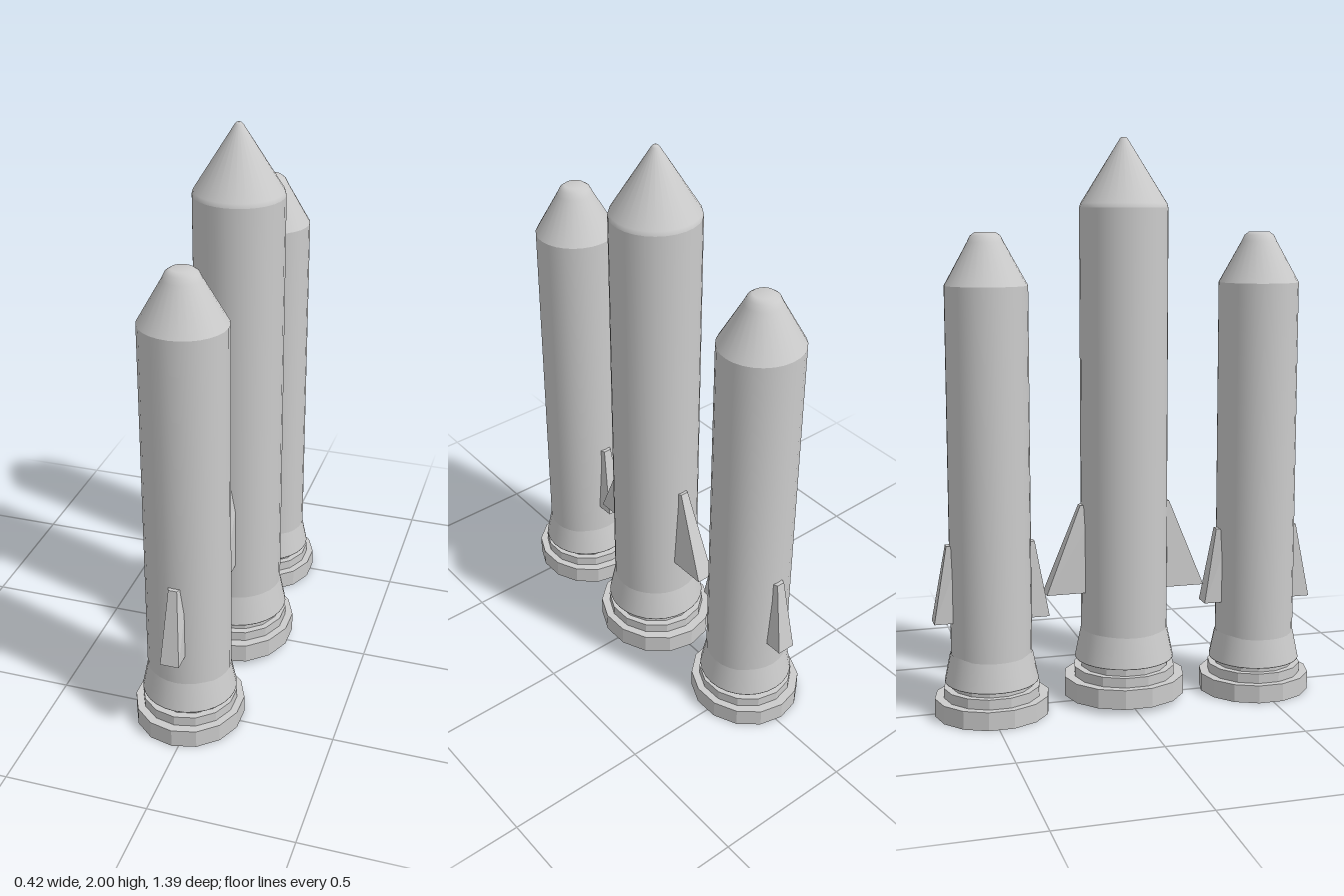
import * as THREE from 'three';

const grey = new THREE.MeshStandardMaterial({ color: 0xcccccc });
const greyFlat = new THREE.MeshStandardMaterial({ color: 0xcccccc, flatShading: true });

function mesh(name, geometry, material) {
  const m = new THREE.Mesh(geometry, material);
  m.name = name;
  return m;
}

// Smooth turned part from [radius, height] pairs, bottom to top
function turned(name, points) {
  const profile = points.map(([r, y]) => new THREE.Vector2(r, y));
  return mesh(name, new THREE.LatheGeometry(profile, 28), grey);
}

// Faceted disc between two heights
function disc(name, r, y0, y1, sx) {
  const geometry = new THREE.CylinderGeometry(r, r, y1 - y0, 14);
  geometry.scale(sx, 1, 1).translate(0, (y0 + y1) / 2, 0);
  return mesh(name, geometry, greyFlat);
}

// Fin pointing to +z: a box whose outer face leans in and narrows to the top
function fin({ root, zTop, zBottom, yTop, yBottom, width, tipWidth }) {
  const geometry = new THREE.BoxGeometry(1, 1, 1);
  const p = geometry.attributes.position;
  for (let i = 0; i < p.count; i++) {
    const top = p.getY(i) > 0, outer = p.getZ(i) > 0;
    const w = top && outer ? tipWidth : width;
    p.setXYZ(i, p.getX(i) * w, top ? yTop : yBottom, outer ? (top ? zTop : zBottom) : root);
  }
  return mesh('fin', geometry, greyFlat);
}

function rocket(name, spec) {
  const group = new THREE.Group();
  group.name = name;

  const nose = turned('noseCone', spec.nose);
  const body = turned('body', spec.body);
  const skirt = turned('flaredSkirt', spec.skirt);
  nose.scale.x = body.scale.x = spec.bodyStretch;
  group.add(nose, body, skirt);

  // Closing discs and stepped engine base
  for (const [part, r, y0, y1, sx] of spec.discs) group.add(disc(part, r, y0, y1, sx));

  // Front and back fins
  for (const turn of [0, Math.PI]) {
    const f = fin(spec.fin);
    f.rotation.y = turn;
    group.add(f);
  }
  return group;
}

const core = {
  bodyStretch: 1.01,
  nose: [[0.155, 1.76], [0.151, 1.775], [0.014, 1.994], [0.008, 2], [0, 2]],
  body: [[0.155, 0.26], [0.155, 1.76]],
  skirt: [[0, 0.155], [0.178, 0.155], [0.178, 0.157], [0.156, 0.265]],
  discs: [
    ['neck', 0.158, 0.12, 0.16, 1],
    ['collar', 0.184, 0.085, 0.125, 0.97],
    ['engineBase', 0.22, 0.02, 0.09, 0.935],
  ],
  fin: { root: 0.1, zTop: 0.165, zBottom: 0.291, yTop: 0.72, yBottom: 0.405, width: 0.066, tipWidth: 0.03 },
};

const booster = {
  bodyStretch: 1.035,
  nose: [[0.142, 1.5], [0.062, 1.645], [0.052, 1.666], [0.036, 1.678], [0, 1.678]],
  body: [[0.142, 0.22], [0.142, 1.5]],
  skirt: [[0, 0.12], [0.165, 0.12], [0.165, 0.122], [0.144, 0.225]],
  discs: [
    ['neck', 0.145, 0.09, 0.125, 1],
    ['collar', 0.171, 0.06, 0.1, 0.97],
    ['engineBase', 0.203, 0, 0.065, 0.943],
  ],
  fin: { root: 0.1, zTop: 0.155, zBottom: 0.203, yTop: 0.61, yBottom: 0.34, width: 0.066, tipWidth: 0.03 },
};

export function createModel() {
  const model = new THREE.Group();
  model.name = 'rocketCluster';

  const main = rocket('coreRocket', core);
  main.position.x = 0.006;
  model.add(main);

  // Boosters in front of and behind the core
  for (const [name, z] of [['frontBooster', 0.491], ['backBooster', -0.491]]) {
    const b = rocket(name, booster);
    b.position.set(-0.023, 0, z);
    model.add(b);
  }
  return model;
}
